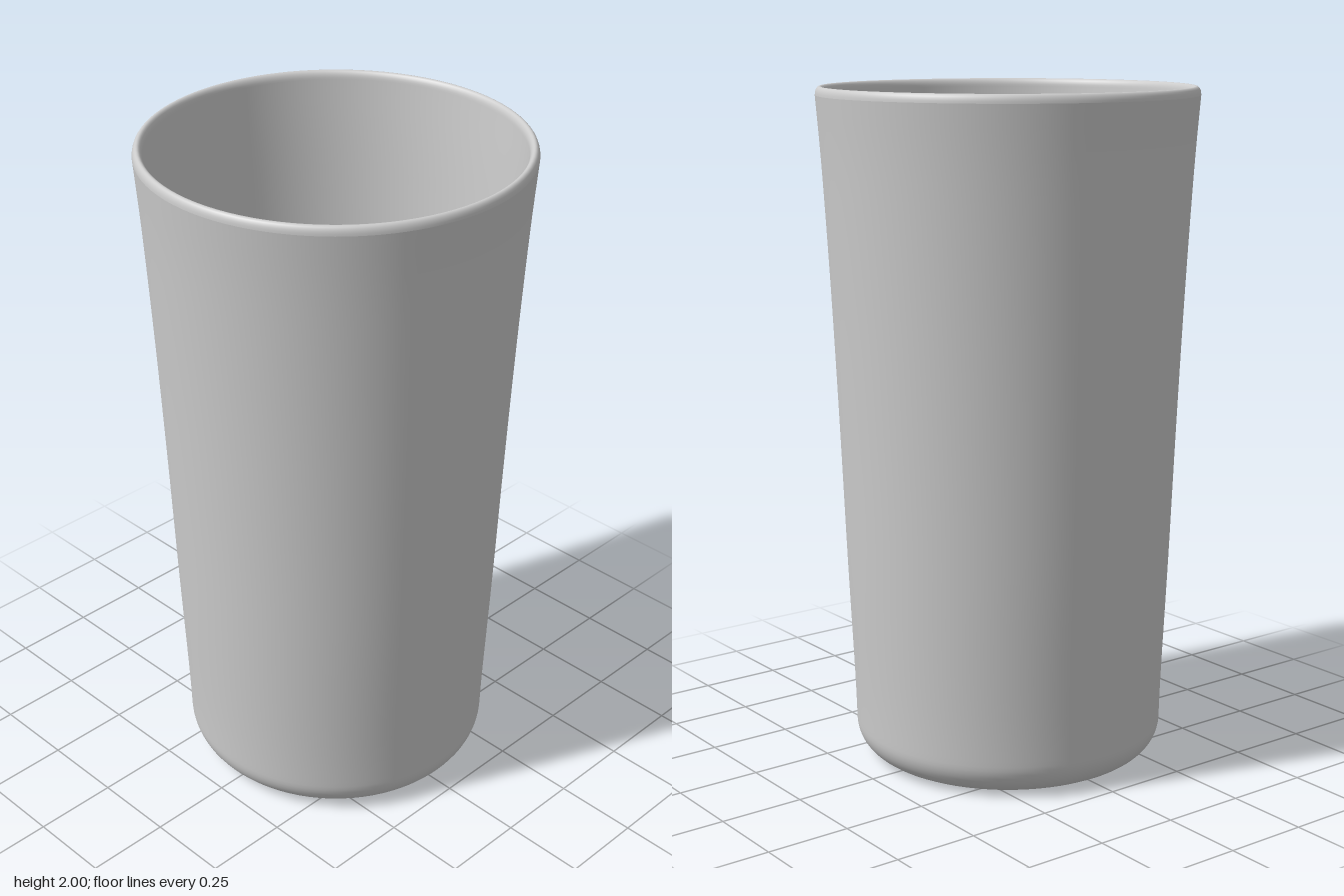
import * as THREE from 'three';

const SEGMENTS = 96;
const WALL = 0.028;

// Outer radius of the wall at rising heights: nearly straight, flaring at the lip
const wall = new THREE.SplineCurve([
  [0.463, 0.1], [0.468, 0.25], [0.484, 0.6], [0.5, 1.0],
  [0.518, 1.4], [0.538, 1.76], [0.554, 1.975],
].map(([r, y]) => new THREE.Vector2(r, y)));

// Quarter-round from the flat base up into the wall
function fillet(r0, y0, r1, y1, steps = 12) {
  return Array.from({ length: steps + 1 }, (_, i) => {
    const a = (i / steps) * Math.PI / 2;
    return new THREE.Vector2(r0 + (r1 - r0) * Math.sin(a), y1 - (y1 - y0) * Math.cos(a));
  });
}

function lathe(name, points, material) {
  const mesh = new THREE.Mesh(new THREE.LatheGeometry(points, SEGMENTS), material);
  mesh.name = name;
  return mesh;
}

export function createModel() {
  const group = new THREE.Group();
  group.name = 'tumbler';
  const material = new THREE.MeshStandardMaterial({ color: 0xcccccc });
  const outer = wall.getPoints(30);

  // Outside: base, rounded foot and tapering wall
  const outside = [
    new THREE.Vector2(0, 0), new THREE.Vector2(0.34, 0),
    ...fillet(0.365, 0, 0.463, 0.1), ...outer.slice(1),
  ];
  group.add(lathe('outerShell', outside, material));

  // Rounded rim joining the outer and inner walls
  const top = outer[outer.length - 1];
  const rim = Array.from({ length: 13 }, (_, i) => {
    const a = (i / 12) * Math.PI;
    return new THREE.Vector2(
      top.x - WALL / 2 + Math.cos(a) * WALL / 2, top.y + Math.sin(a) * 0.025);
  });
  group.add(lathe('rim', rim, material));

  // Inside: wall running down into a rounded floor
  const inside = outer.filter((p) => p.y > 0.15).reverse()
    .map((p) => new THREE.Vector2(p.x - WALL, p.y));
  inside.push(...fillet(0.36, 0.035, 0.436, 0.13).reverse(),
    new THREE.Vector2(0.34, 0.035), new THREE.Vector2(0, 0.035));
  group.add(lathe('innerShell', inside, material));

  return group;
}
